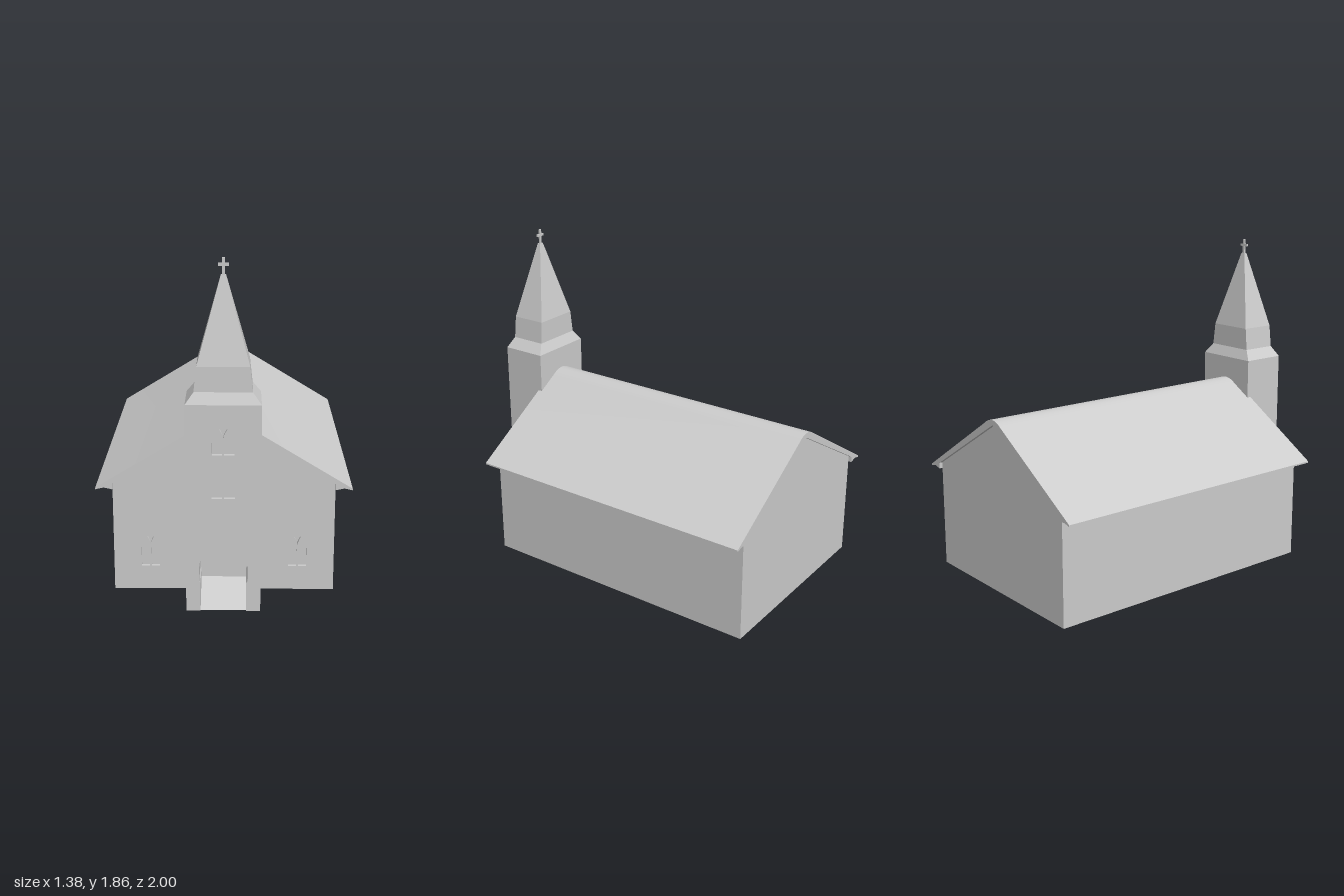
import * as THREE from 'three';
import { toCreasedNormals } from 'three/addons/utils/BufferGeometryUtils.js';

const grey = new THREE.MeshStandardMaterial({ color: 0xcccccc });

function add(parent, name, geometry) {
  const mesh = new THREE.Mesh(geometry, grey);
  mesh.name = name;
  parent.add(mesh);
  return mesh;
}

// Outline in x/y pushed from z0 to z1
function slab(shape, z0, z1) {
  const g = new THREE.ExtrudeGeometry(shape, { depth: z1 - z0, bevelEnabled: false, curveSegments: 10 });
  g.translate(0, 0, z0);
  return toCreasedNormals(g, 0.5);
}

function polygon(points) {
  return new THREE.Shape(points.map(([x, y]) => new THREE.Vector2(x, y)));
}

// Box whose top and bottom rectangles differ
function frustum(y0, hx0, hz0, y1, hx1, hz1, z) {
  const g = new THREE.BoxGeometry(2, 2, 2);
  const p = g.attributes.position;
  for (let i = 0; i < p.count; i++) {
    const top = p.getY(i) > 0;
    p.setXYZ(i, p.getX(i) * (top ? hx1 : hx0), top ? y1 : y0, z + p.getZ(i) * (top ? hz1 : hz0));
  }
  g.computeVertexNormals();
  return g;
}

// Openings of a twin lancet window: two panes and a small diamond above
function lancetHoles(cx, w, base, spring, apex) {
  const h = apex - spring;
  const holes = [-1, 1].map((s) => {
    const X = (x) => cx + s * x;
    const p = new THREE.Path();
    p.moveTo(X(0.005), base);
    p.lineTo(X(w), base);
    p.lineTo(X(w), spring);
    p.quadraticCurveTo(X(w * 0.95), spring + h * 0.45, X(w * 0.48), spring + h * 0.76);
    p.quadraticCurveTo(X(w * 0.15), spring + h * 0.4, X(0.005), spring);
    return p;
  });
  const d = new THREE.Path();
  d.moveTo(cx, apex);
  d.lineTo(cx + w * 0.36, spring + h * 0.8);
  d.quadraticCurveTo(cx + w * 0.1, spring + h * 0.55, cx, spring + h * 0.3);
  d.quadraticCurveTo(cx - w * 0.1, spring + h * 0.55, cx - w * 0.36, spring + h * 0.8);
  d.lineTo(cx, apex);
  holes.push(d);
  return holes;
}

function rectHole(x0, x1, y0, y1) {
  return new THREE.Path([[x0, y0], [x1, y0], [x1, y1], [x0, y1]].map(([x, y]) => new THREE.Vector2(x, y)));
}

// Tower elevation with the pointed doorway cut out of its foot
function towerShape() {
  const s = new THREE.Shape();
  s.moveTo(-0.195, 0);
  s.lineTo(-0.12, 0);
  s.lineTo(-0.12, 0.16);
  s.lineTo(-0.126, 0.17);
  s.lineTo(-0.126, 0.25);
  s.quadraticCurveTo(-0.11, 0.385, 0, 0.47);
  s.quadraticCurveTo(0.11, 0.385, 0.126, 0.25);
  s.lineTo(0.126, 0.17);
  s.lineTo(0.12, 0.16);
  s.lineTo(0.12, 0);
  s.lineTo(0.195, 0);
  s.lineTo(0.195, 1.13);
  s.lineTo(-0.195, 1.13);
  return s;
}

export function createModel() {
  const church = new THREE.Group();
  church.name = 'church';

  // Nave: gabled block with a thin pierced front wall
  const gable = [[-0.6, 0], [0.6, 0], [0.6, 0.625], [0, 0.98], [-0.6, 0.625]];
  add(church, 'nave', slab(polygon(gable), -0.98, 0.71));
  const front = polygon(gable);
  for (const x of [-0.4, 0.4]) front.holes.push(...lancetHoles(x, 0.05, 0.135, 0.235, 0.325));
  add(church, 'naveFrontWall', slab(front, 0.71, 0.73));

  // Roof: rounded ridge, overhanging eaves with soffits
  const roof = new THREE.Shape();
  roof.moveTo(0.69, 0.588);
  roof.lineTo(0.69, 0.597);
  roof.lineTo(0.08, 0.97);
  roof.quadraticCurveTo(0, 1.03, -0.08, 0.97);
  roof.lineTo(-0.69, 0.597);
  roof.lineTo(-0.69, 0.588);
  roof.lineTo(-0.645, 0.598);
  roof.lineTo(-0.599, 0.588);
  roof.lineTo(-0.599, 0.622);
  roof.lineTo(0, 0.972);
  roof.lineTo(0.599, 0.622);
  roof.lineTo(0.599, 0.588);
  roof.lineTo(0.645, 0.598);
  add(church, 'roof', slab(roof, -1, 0.755));

  // Tower: solid back, hollow doorway, pierced front
  const tower = new THREE.Group();
  tower.name = 'tower';
  church.add(tower);
  add(tower, 'towerBack', slab(polygon([[-0.195, 0], [0.195, 0], [0.195, 1.13], [-0.195, 1.13]]), 0.73, 0.81));
  add(tower, 'towerPorch', slab(towerShape(), 0.81, 0.98));
  const face = towerShape();
  face.holes.push(
    ...lancetHoles(0, 0.058, 0.865, 0.93, 1.02),
    rectHole(-0.06, -0.005, 0.63, 0.845),
    rectHole(0.005, 0.06, 0.63, 0.845),
  );
  add(tower, 'towerFront', slab(face, 0.98, 1));

  // Sloping floor inside the doorway
  const ramp = new THREE.ExtrudeGeometry(polygon([[0.81, 0], [0.99, 0], [0.81, 0.11]]), { depth: 0.24, bevelEnabled: false });
  ramp.rotateY(-Math.PI / 2);
  ramp.translate(0.12, 0, 0);
  add(tower, 'porchFloor', ramp);

  // Steeple in stacked tapering stages: height, half width, half depth
  const stages = [[1.13, 0.195, 0.135], [1.19, 0.15, 0.107], [1.32, 0.136, 0.105], [1.77, 0.013, 0.009]];
  ['steepleSkirt', 'belfry', 'spire'].forEach((name, i) => {
    add(tower, name, frustum(...stages[i], ...stages[i + 1], 0.865));
  });

  // Cross
  const cross = new THREE.Group();
  cross.name = 'cross';
  cross.position.set(0, 1.82, 0.865);
  add(cross, 'crossPost', new THREE.BoxGeometry(0.014, 0.11, 0.01)).position.y = -0.02;
  add(cross, 'crossBar', new THREE.BoxGeometry(0.056, 0.014, 0.01));
  tower.add(cross);
  cross.children[0].scale.y = 1;
  return church;
}
